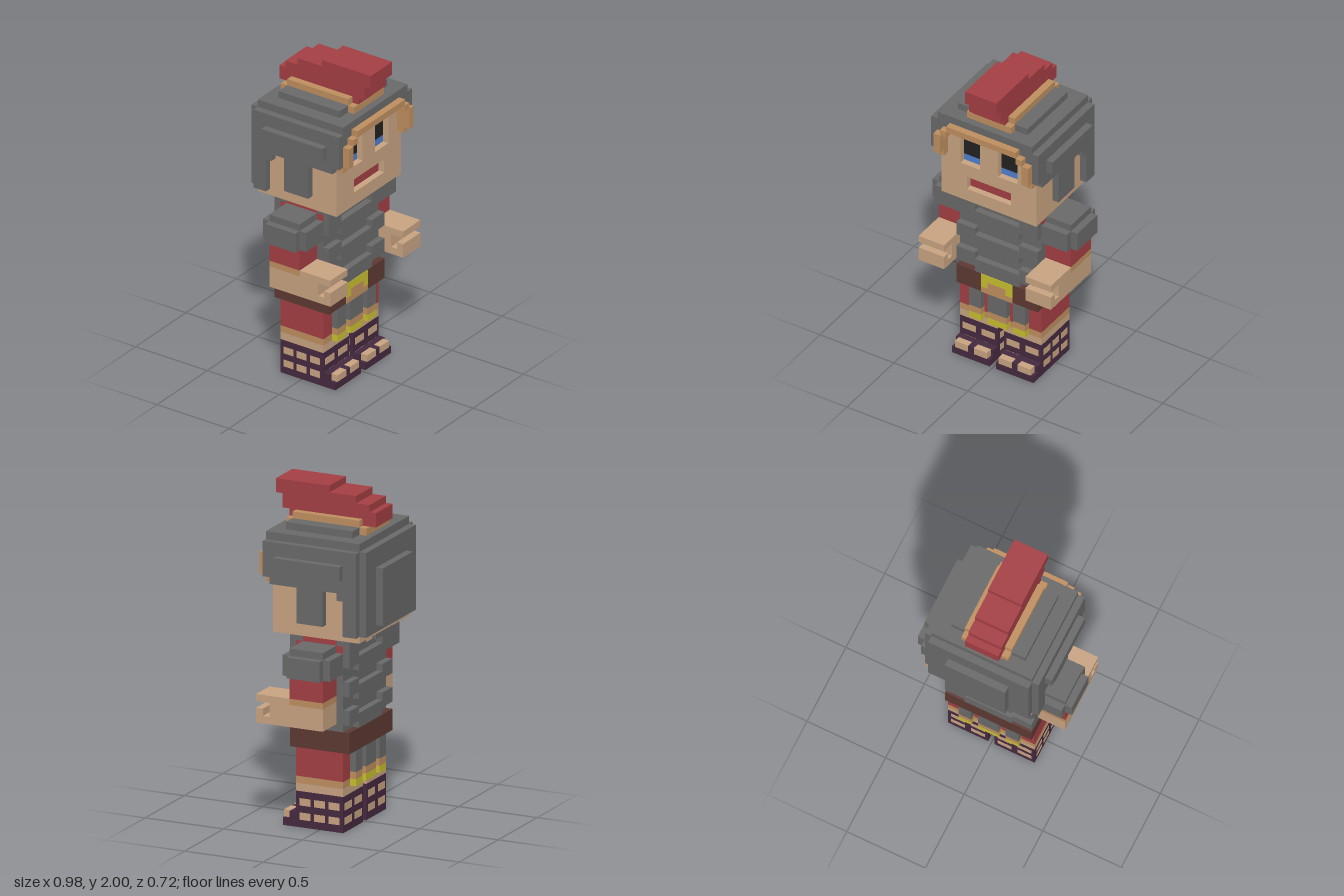
import * as THREE from 'three';

export function createModel() {
  const root = new THREE.Group();
  root.name = 'blockSoldier';
  const mat = (name, color) => {
    const m = new THREE.MeshStandardMaterial({ color });
    m.name = name;
    return m;
  };
  const skin = mat('skin', 0xc9a482), steel = mat('steel', 0x6a6a6a), red = mat('red cloth', 0xa53f44);
  const bronze = mat('bronze', 0xc09060), yellow = mat('yellow metal', 0xc8c030), leather = mat('brown leather', 0x5e3a33);
  const strap = mat('purple strap', 0x452a40), blue = mat('eye blue', 0x5080d0), black = mat('pupil black', 0x222222);

  // Box given by its limits on each axis
  function box(parent, name, m, x0, x1, y0, y1, z0, z1) {
    const mesh = new THREE.Mesh(new THREE.BoxGeometry(x1 - x0, y1 - y0, z1 - z0), m);
    mesh.position.set((x0 + x1) / 2, (y0 + y1) / 2, (z0 + z1) / 2);
    mesh.name = name;
    parent.add(mesh);
  }
  // The same box on both sides of x = 0
  function pair(parent, name, m, x0, x1, ...rest) {
    box(parent, name + 'Left', m, x0, x1, ...rest);
    box(parent, name + 'Right', m, -x1, -x0, ...rest);
  }
  // The same box on front and back
  function both(fn, parent, name, m, x0, x1, y0, y1, z0, z1) {
    fn(parent, name + 'Front', m, x0, x1, y0, y1, z0, z1);
    fn(parent, name + 'Back', m, x0, x1, y0, y1, -z1, -z0);
  }
  // Side outline of [z, y] points, extruded from x0 to x1
  function profile(parent, name, m, pts, x0, x1) {
    const shape = new THREE.Shape(pts.map(p => new THREE.Vector2(...p)));
    const g = new THREE.ExtrudeGeometry(shape, { depth: x1 - x0, bevelEnabled: false });
    g.rotateY(-Math.PI / 2).translate(x1, 0, 0);
    const mesh = new THREE.Mesh(g, m);
    mesh.name = name;
    parent.add(mesh);
  }
  function group(name) {
    const g = new THREE.Group();
    g.name = name;
    root.add(g);
    return g;
  }
  const rect = (C, x0, x1, y0, y1) => new C([[x0, y0], [x1, y0], [x1, y1], [x0, y1]].map(p => new THREE.Vector2(...p)));

  // Head, with a face plate cut out for eyes and mouth
  const head = group('head');
  box(head, 'skull', skin, -0.32, 0.32, 1.155, 1.7, -0.275, 0.232);
  const face = rect(THREE.Shape, -0.32, 0.32, 1.155, 1.66);
  face.holes.push(rect(THREE.Path, 0.062, 0.192, 1.408, 1.62), rect(THREE.Path, -0.192, -0.062, 1.408, 1.62),
    rect(THREE.Path, -0.15, 0.15, 1.238, 1.323));
  const faceMesh = new THREE.Mesh(new THREE.ExtrudeGeometry(face, { depth: 0.043, bevelEnabled: false }), skin);
  faceMesh.position.z = 0.232;
  faceMesh.name = 'face';
  head.add(faceMesh);
  pair(head, 'upperEye', blue, 0.062, 0.192, 1.575, 1.62, 0.232, 0.237);
  pair(head, 'pupil', black, 0.062, 0.192, 1.45, 1.575, 0.232, 0.237);
  pair(head, 'lowerEye', blue, 0.062, 0.192, 1.408, 1.45, 0.232, 0.237);
  box(head, 'mouth', red, -0.15, 0.15, 1.238, 1.323, 0.232, 0.237);

  // Helmet
  const helmet = group('helmet');
  const cheek = [[0.32, 1.7], [-0.275, 1.7], [-0.275, 1.195], [-0.19, 1.195], [-0.19, 1.405], [-0.15, 1.405],
    [-0.15, 1.45], [-0.062, 1.45], [-0.062, 1.238], [0.105, 1.238], [0.105, 1.45], [0.275, 1.45], [0.275, 1.49], [0.32, 1.49]];
  profile(helmet, 'cheekGuardLeft', steel, cheek, 0.32, 0.362);
  profile(helmet, 'cheekGuardRight', steel, cheek, -0.362, -0.32);
  pair(helmet, 'sideRidge', steel, 0.362, 0.405, 1.535, 1.62, -0.19, 0.235);
  box(helmet, 'backShell', steel, -0.32, 0.32, 1.195, 1.7, -0.318, -0.275);
  box(helmet, 'backPlate', steel, -0.192, 0.192, 1.238, 1.58, -0.362, -0.318);
  box(helmet, 'dome', steel, -0.32, 0.32, 1.7, 1.747, -0.275, 0.32);
  box(helmet, 'domeTop', steel, -0.235, 0.235, 1.747, 1.79, -0.19, 0.235);
  pair(helmet, 'browCorner', steel, 0.235, 0.32, 1.66, 1.7, 0.232, 0.32);
  pair(helmet, 'templeCorner', steel, 0.277, 0.32, 1.62, 1.66, 0.275, 0.32);
  box(helmet, 'brow', bronze, -0.235, 0.235, 1.66, 1.7, 0.232, 0.362);
  pair(helmet, 'browStep', bronze, 0.235, 0.277, 1.62, 1.66, 0.275, 0.362);
  pair(helmet, 'browSide', bronze, 0.277, 0.32, 1.49, 1.62, 0.275, 0.362);
  pair(helmet, 'browTip', bronze, 0.277, 0.32, 1.45, 1.49, 0.275, 0.32);
  box(helmet, 'crestFoot', bronze, -0.149, 0.149, 1.747, 1.789, -0.235, 0.275);
  box(helmet, 'crestBase', bronze, -0.149, 0.149, 1.789, 1.83, -0.19, 0.235);
  profile(helmet, 'crest', red, [[0.275, 1.79], [0.275, 1.832], [0.32, 1.832], [0.32, 1.917], [0.362, 1.917], [0.362, 2],
    [0.022, 2], [0.022, 1.96], [-0.148, 1.96], [-0.148, 1.917], [-0.233, 1.917], [-0.233, 1.875], [-0.275, 1.875],
    [-0.275, 1.79]], -0.106, 0.106);

  // Torso with staggered armour bands
  const torso = group('torso');
  box(torso, 'cuirass', steel, -0.275, 0.275, 0.6, 1.068, -0.15, 0.15);
  box(torso, 'neck', skin, -0.15, 0.15, 1.068, 1.155, -0.15, 0.15);
  both(box, torso, 'neckV', skin, -0.066, 0.066, 1.068, 1.12, 0.15, 0.165);
  pair(torso, 'shoulderCloth', red, 0.15, 0.275, 1.068, 1.11, -0.15, 0.15);
  pair(torso, 'shoulderClothTop', red, 0.15, 0.275, 1.11, 1.155, -0.106, 0.106);
  both(pair, torso, 'collarTop', steel, 0.15, 0.275, 1.11, 1.155, 0.106, 0.19);
  both(pair, torso, 'collar', steel, 0.066, 0.275, 1.068, 1.11, 0.15, 0.19);
  for (let i = 0; i < 3; i++) {
    const y = 0.6 + i * 0.17;
    both(box, torso, 'middleBand' + i, steel, -0.15, 0.15, y, y + 0.087, 0.15, 0.19);
    both(pair, torso, 'sideBand' + i, steel, 0.15, 0.275, y + 0.043, y + 0.13, 0.15, 0.19);
  }

  // Arms with shoulder plates and gripping hands
  const arms = group('arms');
  pair(arms, 'shoulderPlate', steel, 0.275, 0.447, 0.945, 1.068, -0.15, 0.15);
  pair(arms, 'shoulderPlateOuter', steel, 0.447, 0.49, 0.945, 1.068, -0.106, 0.106);
  pair(arms, 'shoulderPlateTop', steel, 0.275, 0.447, 1.068, 1.11, -0.106, 0.106);
  pair(arms, 'sleeve', red, 0.275, 0.447, 0.812, 0.945, -0.106, 0.106);
  pair(arms, 'sleeveHem', bronze, 0.275, 0.447, 0.775, 0.812, -0.106, 0.106);
  pair(arms, 'forearm', skin, 0.275, 0.447, 0.643, 0.775, -0.106, 0.106);
  const hand = [[0.106, 0.643], [0.32, 0.643], [0.32, 0.73], [0.277, 0.73], [0.277, 0.687], [0.235, 0.687],
    [0.235, 0.77], [0.32, 0.77], [0.32, 0.812], [0.106, 0.812]];
  profile(arms, 'handLeft', skin, hand, 0.275, 0.447);
  profile(arms, 'handRight', skin, hand, -0.447, -0.275);

  // Belt and buckle
  const belt = group('belt');
  box(belt, 'beltBand', leather, -0.275, 0.275, 0.474, 0.6, -0.19, 0.19);
  box(belt, 'buckle', yellow, -0.106, 0.106, 0.51, 0.6, 0.19, 0.193);
  box(belt, 'buckleCentre', bronze, -0.06, 0.06, 0.51, 0.553, 0.19, 0.195);
  box(belt, 'buckleLower', bronze, -0.106, 0.106, 0.474, 0.51, 0.19, 0.195);

  // Tunic skirt with hanging strips
  const skirt = group('skirt');
  box(skirt, 'tunic', red, -0.275, 0.275, 0.304, 0.474, -0.15, 0.15);
  box(skirt, 'tunicHem', bronze, -0.275, 0.275, 0.262, 0.304, -0.15, 0.15);
  for (const [x0, x1] of [[-0.191, -0.109], [-0.064, 0.064], [0.109, 0.191]]) {
    both(box, skirt, 'strip', steel, x0, x1, 0.347, 0.474, 0.15, 0.19);
    both(box, skirt, 'stripBand', bronze, x0, x1, 0.304, 0.347, 0.15, 0.19);
    both(box, skirt, 'stripTip', yellow, x0, x1, 0.262, 0.304, 0.15, 0.19);
  }

  // Legs in laced sandals; skin shows as thin patches between the straps
  const legs = group('legs');
  pair(legs, 'knee', skin, 0.021, 0.275, 0.215, 0.262, -0.15, 0.15);
  pair(legs, 'sandal', strap, 0.021, 0.275, 0, 0.215, -0.15, 0.15);
  pair(legs, 'sole', strap, 0.021, 0.275, 0, 0.045, 0.15, 0.235);
  pair(legs, 'instepStrap', strap, 0.021, 0.275, 0.045, 0.088, 0.15, 0.192);
  pair(legs, 'toeGap', strap, 0.128, 0.168, 0.045, 0.086, 0.192, 0.232);
  pair(legs, 'innerToe', skin, 0.04, 0.128, 0.045, 0.088, 0.192, 0.235);
  pair(legs, 'outerToe', skin, 0.168, 0.256, 0.045, 0.088, 0.192, 0.235);
  for (const y of [0.045, 0.13]) {
    for (const [a, b] of [[0.04, 0.128], [0.168, 0.256]]) {
      pair(legs, 'shinPatch', skin, a, b, y, y + 0.043, 0.149, 0.152);
      pair(legs, 'calfPatch', skin, a, b, y, y + 0.043, -0.152, -0.149);
    }
    for (const z of [-0.092, 0, 0.092]) {
      pair(legs, 'outerPatch', skin, 0.274, 0.277, y, y + 0.043, z - 0.034, z + 0.034);
      pair(legs, 'innerPatch', skin, 0.019, 0.022, y, y + 0.043, z - 0.034, z + 0.034);
    }
  }
  return root;
}
